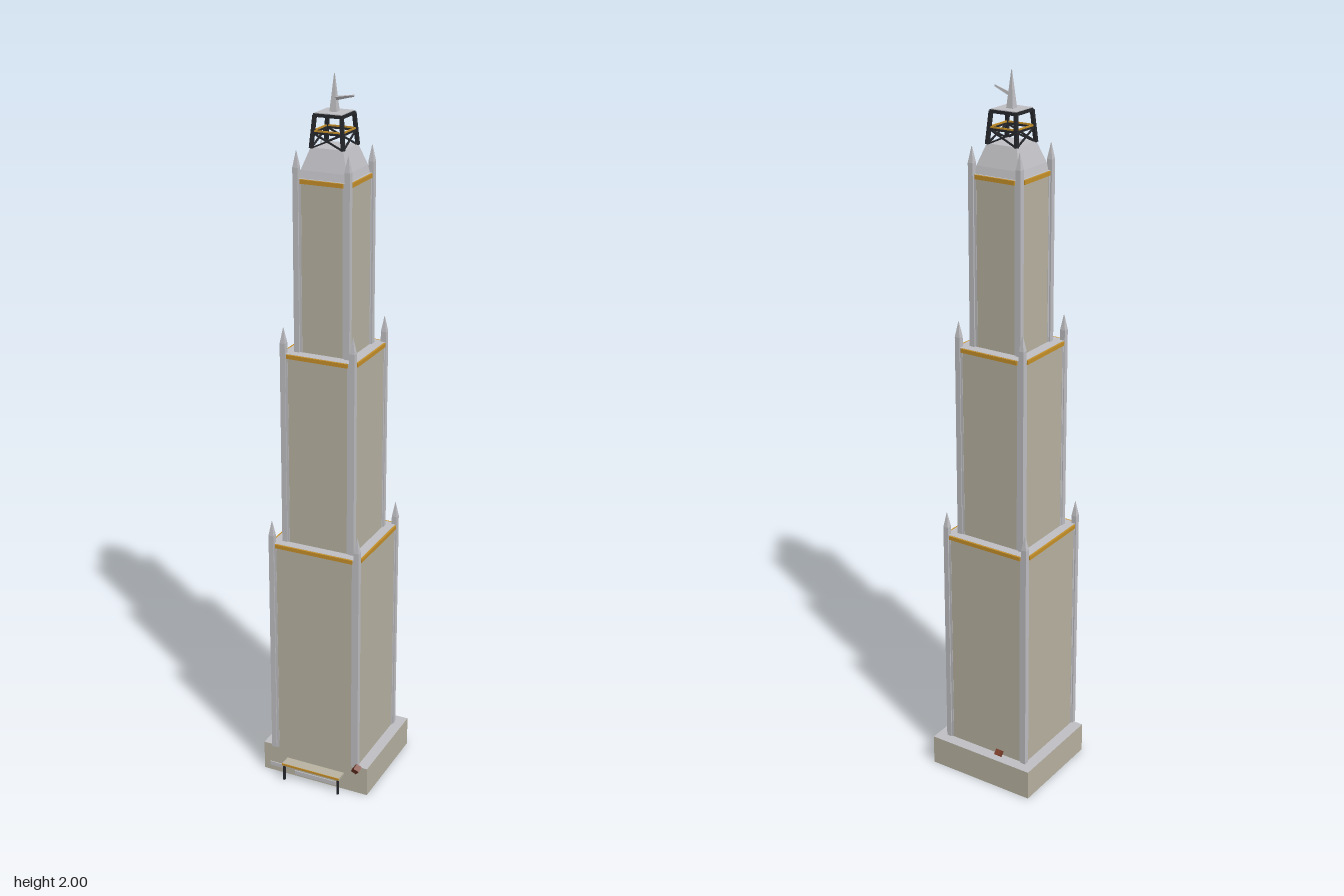
import * as THREE from 'three';

const mat = (name, color) => {
  const m = new THREE.MeshStandardMaterial({ color });
  m.name = name;
  return m;
};

export function createModel() {
  const stone = mat('beige stone', 0xb9b4a3);
  const steel = mat('light grey', 0xc1c1c5);
  const gold = mat('gold trim', 0xc8912a);
  const iron = mat('black iron', 0x26282c);
  const rust = mat('red brown', 0x7c3d2a);
  const root = new THREE.Group();
  root.name = 'tower';

  const add = (parent, name, geo, material, x = 0, y = 0, z = 0) => {
    const m = new THREE.Mesh(geo, material);
    m.name = name;
    m.position.set(x, y, z);
    parent.add(m);
    return m;
  };
  const box = (parent, name, w, h, d, material, x, y, z) =>
    add(parent, name, new THREE.BoxGeometry(w, h, d), material, x, y, z);
  // Box with stone walls and grey top and bottom
  const walls = [stone, stone, steel, steel, stone, stone];
  // Square frustum given by half widths
  const frustum = (r0, r1, h) => {
    const g = new THREE.CylinderGeometry(r1 * Math.SQRT2, r0 * Math.SQRT2, h, 4).toNonIndexed();
    g.rotateY(Math.PI / 4);
    g.computeVertexNormals();
    return g;
  };
  // Square bar between two points
  const bar = (parent, name, a, b, w, material, w2 = w) => {
    const p = new THREE.Vector3(...a), q = new THREE.Vector3(...b);
    const m = add(parent, name, frustum(w / 2, w2 / 2, p.distanceTo(q)), material);
    m.position.copy(p).lerp(q, 0.5);
    m.quaternion.setFromUnitVectors(new THREE.Vector3(0, 1, 0), q.sub(p).normalize());
    return m;
  };
  const corners = [[1, 1], [1, -1], [-1, -1], [-1, 1]];

  // Base block
  box(root, 'base', 0.327, 0.087, 0.293, walls, -0.001, 0.0435, -0.0185);

  // Three stepped tiers with corner pillars and gold cornices
  const tiers = [
    { r: 0.131, c: 0.128, y0: 0.085, y1: 0.74, tip: 0.805 },
    { r: 0.104, c: 0.1, y0: 0.74, y1: 1.285, tip: 1.355 },
    { r: 0.074, c: 0.072, y0: 1.285, y1: 1.745, tip: 1.815 },
  ];
  for (const { r, c, y0, y1, tip } of tiers) {
    const tier = new THREE.Group();
    tier.name = 'tier';
    root.add(tier);
    const h = y1 - y0;
    box(tier, 'tierBody', 2 * r, h, 2 * r, walls, 0, (y0 + y1) / 2, 0);
    for (let i = 0; i < 4; i++) {
      const face = new THREE.Group();
      face.name = 'cornice';
      face.rotation.y = (i * Math.PI) / 2;
      tier.add(face);
      box(face, 'goldBand', 2 * (c - 0.012), 0.011, 0.006, gold, 0, y1 - 0.006, r + 0.002);
      // Grey strip next to each pillar
      for (const s of [-1, 1])
        box(face, 'edgeStrip', 0.014, h, 0.002, steel, s * (c - 0.007), (y0 + y1) / 2, r);
    }
    for (const [sx, sz] of corners) {
      const top = tip - 0.042;
      box(tier, 'pillar', 0.015, top - y0, 0.015, steel, sx * c, (y0 + top) / 2, sz * c);
      add(tier, 'pinnacle', frustum(0.0075, 0.0005, 0.042), steel, sx * c, top + 0.021, sz * c);
    }
  }

  // Sloped crown roof
  add(root, 'crownFoot', frustum(0.069, 0.064, 0.02), steel, 0, 1.755, 0);
  add(root, 'crownRoof', frustum(0.064, 0.045, 0.055), steel, 0, 1.7925, 0);

  // Open iron lantern: tapered legs, rings and cross braces
  const lantern = new THREE.Group();
  lantern.name = 'lantern';
  root.add(lantern);
  const yA = 1.818, yB = 1.856, yC = 1.9;
  const half = (y) => 0.044 - ((y - yA) / (yC - yA)) * 0.007;
  const at = (i, y) => {
    const [sx, sz] = corners[i % 4];
    return [sx * half(y), y, sz * half(y)];
  };
  for (let i = 0; i < 4; i++) {
    bar(lantern, 'leg', at(i, yA), at(i, yC), 0.009, iron);
    bar(lantern, 'topRail', at(i, yC), at(i + 1, yC), 0.008, iron);
    bar(lantern, 'midRail', at(i, yB), at(i + 1, yB), 0.005, iron);
    bar(lantern, 'goldRail', at(i, yB + 0.005), at(i + 1, yB + 0.005), 0.004, gold);
    bar(lantern, 'brace', at(i, yA), at(i + 1, yB), 0.004, iron);
    bar(lantern, 'brace', at(i + 1, yA), at(i, yB), 0.004, iron);
  }
  box(lantern, 'platform', 0.074, 0.008, 0.074, steel, 0, 1.902, 0);

  // Mast with a side arm
  add(root, 'mastFoot', frustum(0.01, 0.007, 0.03), steel, 0, 1.92, 0);
  add(root, 'mast', frustum(0.007, 0.0008, 0.065), steel, 0, 1.9675, 0);
  bar(root, 'mastArm', [0, 1.938, 0], [0.062, 1.952, 0.018], 0.009, steel, 0.004);

  // Entrance canopy on two posts
  const canopy = new THREE.Group();
  canopy.name = 'canopy';
  root.add(canopy);
  box(canopy, 'canopyRoof', 0.18, 0.007, 0.036, stone, 0, 0.051, 0.144);
  box(canopy, 'canopyTrim', 0.18, 0.006, 0.002, gold, 0, 0.052, 0.162);
  for (const s of [-1, 1])
    box(canopy, 'canopyPost', 0.006, 0.048, 0.006, iron, s * 0.085, 0.024, 0.158);
  // Low pale plates by the doorway
  box(root, 'doorSill', 0.13, 0.012, 0.004, steel, 0, 0.012, 0.129);
  box(root, 'sidePlate', 0.05, 0.012, 0.004, steel, -0.12, 0.022, 0.129);

  // Tilted red-brown brackets
  bar(root, 'frontBracket', [0.125, 0.074, 0.129], [0.144, 0.1, 0.151], 0.017, rust);
  bar(root, 'backBracket', [-0.05, 0.092, -0.135], [-0.05, 0.103, -0.148], 0.017, rust);

  return root;
}
